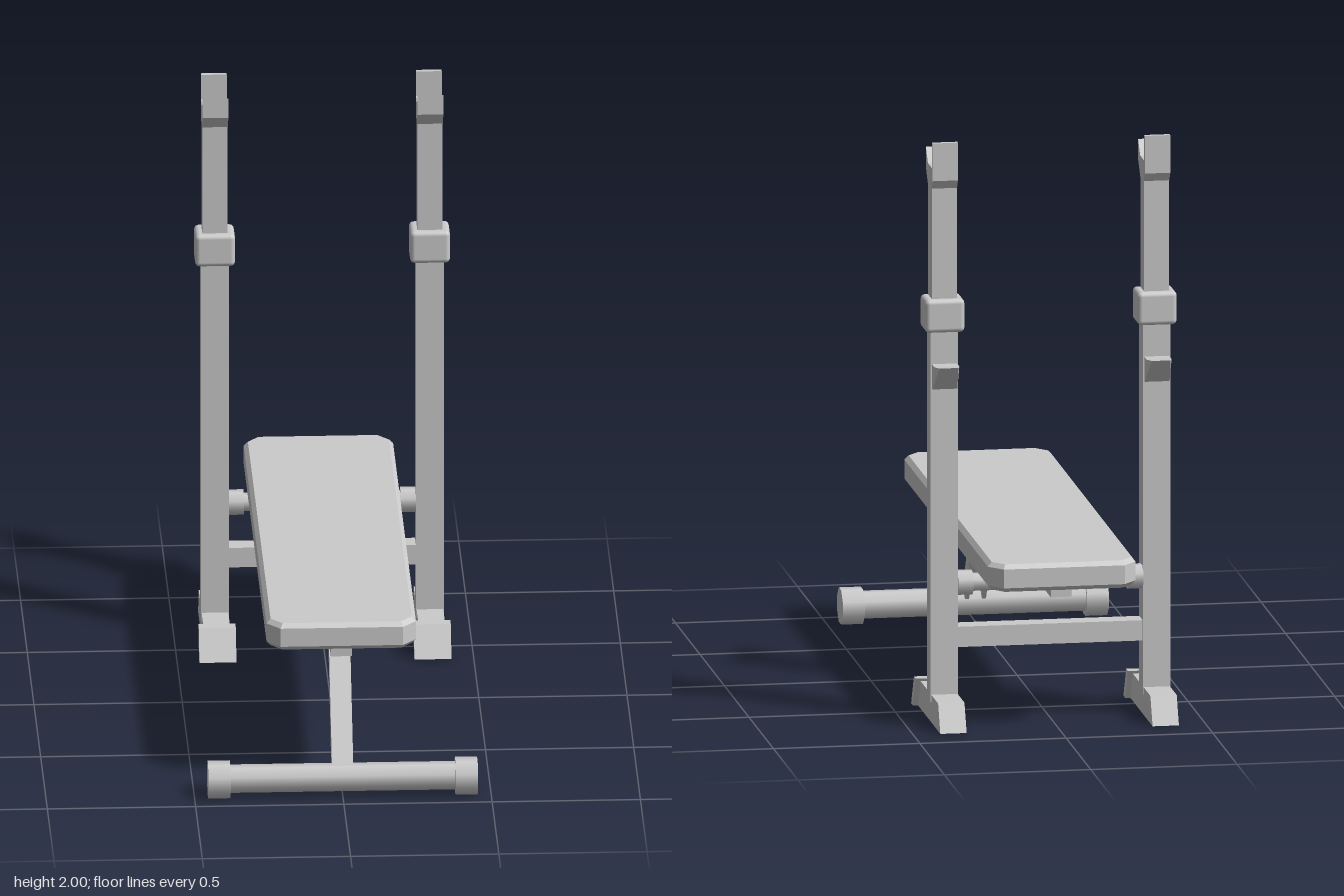
import * as THREE from 'three';
import { RoundedBoxGeometry } from 'three/addons/geometries/RoundedBoxGeometry.js';

const grey = new THREE.MeshStandardMaterial({ color: 0xcccccc });

function add(parent, name, geometry, x = 0, y = 0, z = 0) {
  const mesh = new THREE.Mesh(geometry, grey);
  mesh.name = name;
  mesh.position.set(x, y, z);
  parent.add(mesh);
  return mesh;
}

const box = (w, h, d) => new THREE.BoxGeometry(w, h, d);

const outline = (points) => new THREE.Shape(points.map(([a, b]) => new THREE.Vector2(a, b)));

// Side profile given as [z, y], extruded across x and centred on x = 0
function sideProfile(points, width) {
  const geo = new THREE.ExtrudeGeometry(outline(points), { depth: width, bevelEnabled: false });
  return geo.translate(0, 0, -width / 2).rotateY(-Math.PI / 2);
}

// Eight-sided bar lying along x
function bar(radius, length) {
  return new THREE.CylinderGeometry(radius, radius, length, 8)
    .rotateY(Math.PI / 8)
    .rotateZ(Math.PI / 2);
}

// Rectangle with cut corners
function cutRect(hw, hd, cx, cd) {
  return outline([
    [-hw + cx, -hd], [hw - cx, -hd], [hw, -hd + cd], [hw, hd - cd],
    [hw - cx, hd], [-hw + cx, hd], [-hw, hd - cd], [-hw, -hd + cd],
  ]);
}

// Upward-flaring catch behind the post, with cut outer corners
function catchGeometry() {
  const geo = sideProfile([[-0.67, 1.15], [-0.69, 1.15], [-0.775, 1.24], [-0.73, 1.235], [-0.67, 1.235]], 0.085);
  const p = geo.attributes.position;
  for (let i = 0; i < p.count; i++) {
    if (p.getZ(i) < -0.76) p.setX(i, p.getX(i) * 0.75);
  }
  geo.computeVertexNormals();
  return geo;
}

function makeUpright() {
  const g = new THREE.Group();
  const z = -0.64;
  add(g, 'foot', sideProfile([[-0.38, 0], [-0.43, 0.095], [-0.82, 0.095], [-0.865, 0]], 0.09));
  add(g, 'footEndCap', sideProfile([[-0.373, 0], [-0.43, 0.105], [-0.467, 0.105], [-0.41, 0]], 0.125));
  add(g, 'lowerPost', box(0.094, 1.3, 0.08), 0, 0.72, z);
  add(g, 'upperPost', box(0.085, 0.46, 0.076), 0, 1.63, z);
  add(g, 'heightCollar', new RoundedBoxGeometry(0.135, 0.115, 0.12, 2, 0.016), 0, 1.402, z);
  add(g, 'barCradle', sideProfile([
    [-0.56, 1.96], [-0.56, 1.89], [-0.603, 1.84], [-0.678, 1.84], [-0.698, 1.87],
    [-0.698, 2], [-0.682, 2], [-0.682, 1.912], [-0.603, 1.912],
  ], 0.087));
  add(g, 'rearCatch', catchGeometry());
  return g;
}

export function createModel() {
  const model = new THREE.Group();
  model.name = 'weightBench';

  // Padded board with bevelled edges
  const pad = new THREE.ExtrudeGeometry(cutRect(0.238, 0.893, 0.038, 0.045), {
    depth: 0.065, bevelEnabled: true, bevelThickness: 0.015, bevelSize: 0.014, bevelSegments: 1,
  }).rotateX(-Math.PI / 2);
  add(model, 'pad', pad, 0, 0.515, -0.053);

  // Hollow rail under the pad
  const railShape = cutRect(0.036, 0.86, 0.001, 0.001);
  railShape.holes.push(new THREE.Path([[-0.02, -0.83], [-0.02, 0.83], [0.02, 0.83], [0.02, -0.83]]
    .map(([a, b]) => new THREE.Vector2(a, b))));
  const rail = new THREE.ExtrudeGeometry(railShape, { depth: 0.04, bevelEnabled: false }).rotateX(-Math.PI / 2);
  add(model, 'padRail', rail, 0, 0.465, -0.04);

  // Sloping front leg, a channel open towards the rear
  const leg = new THREE.Group();
  leg.name = 'frontLeg';
  model.add(leg);
  const legSide = [[0.611, 0.48], [0.665, 0.48], [0.905, 0.105], [0.852, 0.08]];
  const legFace = [[0.648, 0.48], [0.665, 0.48], [0.905, 0.105], [0.888, 0.097]];
  for (const s of [-1, 1]) add(leg, 'legSide', sideProfile(legSide, 0.014), s * 0.029);
  add(leg, 'legFace', sideProfile(legFace, 0.058));

  // Front floor bar with end caps
  add(model, 'floorBar', bar(0.048, 0.8), 0, 0.062, 0.903);
  for (const s of [-1, 1]) add(model, 'floorBarCap', bar(0.064, 0.075), s * 0.417, 0.06, 0.903);

  // Bars joining the uprights
  add(model, 'crossBeam', box(0.66, 0.07, 0.07), 0, 0.29, -0.64);
  add(model, 'padSupportBar', bar(0.031, 0.6), 0, 0.473, -0.65);
  for (const s of [-1, 1]) add(model, 'supportBarCap', bar(0.043, 0.052), s * 0.29, 0.473, -0.65);

  // Mirrored uprights
  for (const s of [-1, 1]) {
    const upright = makeUpright();
    upright.name = s > 0 ? 'leftUpright' : 'rightUpright';
    upright.position.x = s * 0.3625;
    model.add(upright);
  }
  return model;
}
